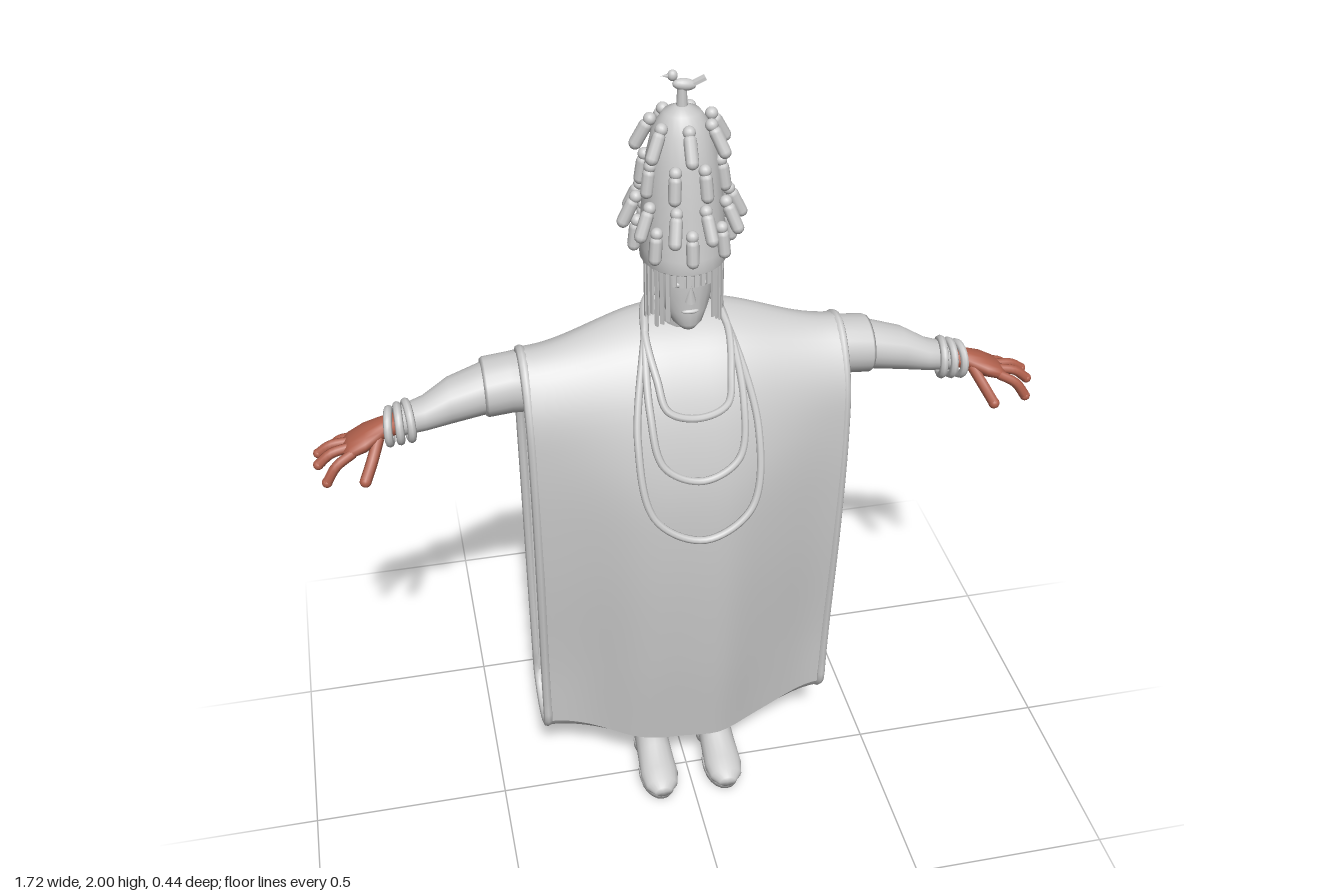
import * as THREE from 'three';

const V = (x, y, z) => new THREE.Vector3(x, y, z);
const lerp = THREE.MathUtils.lerp;
const grey = new THREE.MeshStandardMaterial({ color: 0xcccccc });
const cloth = new THREE.MeshStandardMaterial({ color: 0xcccccc, side: THREE.DoubleSide });
const skin = new THREE.MeshStandardMaterial({ color: 0xb0604c });

function add(parent, name, geometry, material = grey) {
  const m = new THREE.Mesh(geometry, material);
  m.name = name;
  parent.add(m);
  return m;
}

// Surface from fn(u, v); closed joins the last column to the first
function grid(fn, nu, nv, closed = false) {
  const pos = [], idx = [], cols = closed ? nu : nu + 1;
  for (let j = 0; j <= nv; j++)
    for (let i = 0; i < cols; i++) pos.push(...fn(i / nu, j / nv));
  for (let j = 0; j < nv; j++)
    for (let i = 0; i < nu; i++) {
      const a = j * cols + i, b = j * cols + (i + 1) % cols;
      idx.push(a, b, a + cols, b, b + cols, a + cols);
    }
  const g = new THREE.BufferGeometry();
  g.setAttribute('position', new THREE.Float32BufferAttribute(pos, 3));
  g.setIndex(idx);
  g.computeVertexNormals();
  return g;
}

// Elliptical rings [t, a, b, ra, rb] stacked along an axis; the ends are closed
function loft(rings, axis = 'y', seg = 20) {
  const first = [...rings[0]], last = [...rings.at(-1)];
  first[3] = first[4] = last[3] = last[4] = 0.0005;
  const all = [first, ...rings, last], n = all.length - 1;
  return grid((u, v) => {
    const [t, a, b, ra, rb] = all[Math.round(v * n)];
    const c = Math.cos(u * Math.PI * 2), s = Math.sin(u * Math.PI * 2);
    if (axis === 'x') return [t, a + ra * c, b + rb * s];
    if (axis === 'z') return [a + ra * c, b + rb * s, t];
    return [a + ra * s, t, b + rb * c];
  }, seg, n, true);
}

function ball(parent, name, p, s, material = grey) {
  const m = add(parent, name, new THREE.SphereGeometry(1, 16, 12), material);
  m.position.set(...p);
  m.scale.set(...s);
  return m;
}

// Robe profiles (z, y), from the front hem over the shoulder to the back hem
const profile = (pts) => new THREE.CatmullRomCurve3(pts.map(([z, y]) => V(0, y, z)));
const middle = profile([[.085, .19], [.125, .5], [.15, .85], [.14, 1.07], [.08, 1.27], [0, 1.375],
  [-.1, 1.415], [-.17, 1.35], [-.19, 1.13], [-.185, .86], [-.2, .5], [-.215, .19]]);
const edge = profile([[.005, .24], [.02, .44], [.06, .8], [.075, 1.1], [.06, 1.24], [.005, 1.33],
  [-.05, 1.355], [-.13, 1.31], [-.17, 1.18], [-.185, .86], [-.2, .5], [-.205, .24]]);
const W = .37;

function robePoint(x, v, inset = 0) {
  const w = THREE.MathUtils.smoothstep(W - Math.abs(x), 0, .32);
  const p = edge.getPoint(v).lerp(middle.getPoint(v), w);
  const fold = .005 * Math.sin(x * 28) * THREE.MathUtils.clamp(1.3 - p.y, 0, 1) * w;
  return [x, lerp(p.y, .75, inset * .025), lerp(p.z + fold, -.06, inset * .14)];
}

function hemPoint(x, v, inset = 0) {
  const a = robePoint(x, 0, inset), b = robePoint(x, 1, inset);
  const sag = (a[1] - .175 - inset * .015) * Math.pow(Math.sin(Math.PI * v), .6);
  return [x, lerp(a[1], b[1], v) - sag, lerp(a[2], b[2], v)];
}

function makeRobe() {
  const robe = new THREE.Group();
  robe.name = 'robe';
  for (const inset of [0, 1]) {
    const label = inset ? 'robeLining' : 'robeCloth';
    add(robe, label, grid((u, v) => robePoint(lerp(-W, W, u), v, inset), 32, 56), cloth);
    // Closed hem on each side, leaving a gap for the legs
    for (const s of [-1, 1])
      add(robe, label + 'Hem', grid((u, v) => hemPoint(s * lerp(.165, W, s > 0 ? 1 - u : u), v, inset), 8, 14), cloth);
  }
  // Thick border round both arm openings
  for (const s of [-1, 1]) {
    const pts = [];
    for (let i = 0; i <= 40; i++) pts.push(V(...robePoint(s * W, i / 40, .5)));
    for (let i = 7; i > 0; i--) pts.push(V(...hemPoint(s * W, i / 8, .5)));
    add(robe, 'robeBorder', new THREE.TubeGeometry(new THREE.CatmullRomCurve3(pts, true), 110, .012, 8, true));
  }
  return robe;
}

function makeArm() {
  const arm = new THREE.Group();
  arm.name = 'arm';
  add(arm, 'sleeve', loft([[.13, 1.26, -.07, .07, .075], [.3, 1.26, -.08, .072, .075], [.45, 1.25, -.08, .06, .066],
    [.54, 1.235, -.065, .053, .056], [.6, 1.215, -.055, .04, .043], [.66, 1.205, -.048, .033, .036]], 'x'));
  add(arm, 'shortSleeve', loft([[.3, 1.26, -.08, .078, .08], [.4, 1.255, -.08, .07, .073],
    [.455, 1.25, -.08, .068, .076], [.462, 1.25, -.08, .064, .07]], 'x'));
  [.638, .66, .682].forEach((x, i) => {
    const b = add(arm, 'bracelet', new THREE.TorusGeometry(.043 - i * .002, .01, 8, 24));
    b.position.set(x, 1.205 - i * .005, -.047);
    b.rotation.set(0, Math.PI / 2 + (i - 1) * .12, .2);
  });
  // Palm, four fingers and a thumb
  add(arm, 'palm', loft([[.66, 1.203, -.047, .025, .028], [.7, 1.196, -.043, .024, .032], [.74, 1.183, -.032, .026, .047],
    [.775, 1.17, -.028, .02, .047], [.79, 1.163, -.027, .011, .038]], 'x', 16), skin);
  for (const [base, mid, tip, r] of [
    [[.77, 1.17, .007], [.81, 1.15, .022], [.835, 1.115, .03], .012],
    [[.775, 1.172, -.017], [.82, 1.163, -.012], [.85, 1.14, -.008], .012],
    [[.775, 1.172, -.04], [.82, 1.166, -.042], [.848, 1.148, -.042], .0115],
    [[.765, 1.17, -.062], [.8, 1.158, -.073], [.825, 1.135, -.077], .01],
    [[.71, 1.185, -.018], [.73, 1.15, .02], [.75, 1.115, .045], .0135]]) {
    const c = new THREE.CatmullRomCurve3([base, mid, tip].map((p) => V(...p)));
    add(arm, 'finger', new THREE.TubeGeometry(c, 8, r, 8), skin);
    ball(arm, 'fingertip', tip, [r, r, r], skin);
  }
  return arm;
}

function makeLeg() {
  const leg = new THREE.Group();
  leg.name = 'leg';
  add(leg, 'trouserLeg', loft([[.2, .087, -.1, .04, .055], [.23, .087, -.11, .058, .077], [.32, .088, -.115, .07, .08],
    [.4, .088, -.1, .07, .075], [.5, .088, -.07, .075, .07], [.62, .086, -.055, .08, .08], [.75, .08, -.05, .08, .09]]));
  add(leg, 'bootShaft', loft([[.06, .088, -.085, .045, .055], [.13, .088, -.085, .043, .06], [.16, .088, -.085, .042, .062],
    [.162, .088, -.085, .047, .067], [.185, .088, -.085, .047, .067], [.19, .088, -.085, .042, .06], [.25, .088, -.09, .04, .055]]));
  add(leg, 'bootFoot', loft([[-.135, .088, .06, .028, .035], [-.12, .088, .068, .042, .055], [-.04, .088, .07, .045, .058],
    [.01, .088, .055, .047, .045], [.07, .088, .042, .05, .034], [.105, .088, .037, .042, .027], [.125, .088, .033, .022, .016]], 'z'));
  add(leg, 'sole', loft([[0, .088, .04, .046, .078], [.018, .088, .04, .05, .083], [.026, .088, .04, .047, .08]]));
  add(leg, 'heel', loft([[0, .088, -.09, .04, .046], [.035, .088, -.09, .042, .047]]));
  return leg;
}

function makeHead() {
  const head = new THREE.Group();
  head.name = 'head';
  add(head, 'neck', loft([[1.34, 0, -.08, .07, .065], [1.42, 0, -.075, .055, .055], [1.5, 0, -.06, .055, .055]]));
  add(head, 'skull', loft([[1.415, 0, .015, .018, .022], [1.43, 0, .005, .035, .042], [1.46, 0, -.018, .053, .067],
    [1.5, 0, -.03, .066, .08], [1.55, 0, -.033, .073, .087], [1.62, 0, -.035, .07, .085]]));
  const nose = add(head, 'nose', new THREE.ConeGeometry(.014, .045, 8));
  nose.position.set(0, 1.515, .05);
  nose.rotation.x = .25;
  ball(head, 'mouth', [0, 1.467, .045], [.02, .006, .008]);
  for (const s of [-1, 1]) {
    ball(head, 'eye', [s * .027, 1.535, .042], [.012, .007, .006]);
    ball(head, 'ear', [s * .071, 1.52, -.045], [.01, .028, .018]);
    // Hanging strands framing the face
    for (let i = 0; i < 9; i++) {
      const a = s * (.1 + i * .17), len = i < 3 ? .04 : .13 + .012 * (i % 3);
      const st = add(head, 'strand', new THREE.BoxGeometry(.009, len, .005));
      st.position.set(.088 * Math.sin(a), 1.58 - len / 2, -.035 + .103 * Math.cos(a));
      st.rotation.y = a;
    }
  }
  return head;
}

// Tall headdress with knobs and hanging drops in rings
function makeHeaddress() {
  const hat = new THREE.Group();
  hat.name = 'headdress';
  add(hat, 'crown', loft([[1.565, 0, -.035, .088, .1], [1.572, 0, -.035, .096, .108], [1.6, 0, -.035, .094, .103],
    [1.7, 0, -.037, .09, .093], [1.8, 0, -.039, .08, .08], [1.87, 0, -.04, .064, .064],
    [1.905, 0, -.04, .04, .04], [1.917, 0, -.04, .015, .015]], 'y', 24));
  // ring: count, knob height, radius, drop length, outward tilt, angle offset
  for (const [n, y, r, len, tilt, off] of [[7, 1.885, .066, .045, .5, 0], [8, 1.8, .08, .04, .15, .4],
    [10, 1.715, .1, .045, .45, .3], [8, 1.66, .098, .04, .12, 0]])
    for (let i = 0; i < n; i++) {
      const o = new THREE.Group(), a = off + i / n * Math.PI * 2;
      o.name = 'ornament';
      o.position.set(r * Math.sin(a), y, -.038 + r * Math.cos(a));
      o.rotation.set(-tilt, a, 0, 'YXZ');
      ball(o, 'knob', [0, 0, .003], [.014, .014, .014]);
      const drop = add(o, 'drop', new THREE.CapsuleGeometry(.0145, len, 4, 10));
      drop.position.set(0, -len / 2 - .018, .004);
      hat.add(o);
    }
  // Small bird on the top
  const perch = add(hat, 'perch', new THREE.CylinderGeometry(.01, .013, .05, 10));
  perch.position.set(0, 1.93, -.04);
  ball(hat, 'birdBody', [.005, 1.962, -.04], [.026, .013, .013]).rotation.z = -.15;
  ball(hat, 'birdHead', [-.02, 1.984, -.04], [.011, .012, .01]);
  const beak = add(hat, 'birdBeak', new THREE.ConeGeometry(.005, .018, 6));
  beak.position.set(-.036, 1.984, -.04);
  beak.rotation.z = Math.PI / 2;
  const tail = add(hat, 'birdTail', new THREE.BoxGeometry(.03, .007, .016));
  tail.position.set(.036, 1.968, -.04);
  tail.rotation.z = .4;
  return hat;
}

function makeNecklace(w, yb, zb) {
  const side = [[.07, 1.43, -.1], [.095, 1.395, 0], [w, lerp(1.39, yb, .45), zb * .64], [w * .8, lerp(1.39, yb, .86), zb * .93]];
  const pts = [V(0, 1.43, -.14), ...side.map((p) => V(...p)), V(0, yb, zb),
    ...side.map(([x, y, z]) => V(-x, y, z)).reverse()];
  return new THREE.TubeGeometry(new THREE.CatmullRomCurve3(pts, true), 110, .009, 8, true);
}

export function createModel() {
  const model = new THREE.Group();
  model.name = 'robedFigure';
  model.add(makeRobe(), makeHead(), makeHeaddress());
  // Tunic under the robe
  add(model, 'tunic', loft([[.67, 0, -.055, .19, .1], [.9, 0, -.055, .175, .1], [1.1, 0, -.06, .18, .095],
    [1.25, 0, -.07, .18, .08], [1.33, 0, -.08, .13, .055]], 'y', 28));
  for (const s of [-1, 1]) {
    const half = new THREE.Group();
    half.name = s > 0 ? 'leftLimbs' : 'rightLimbs';
    half.add(makeArm(), makeLeg());
    half.scale.x = s;
    model.add(half);
  }
  for (const n of [[.085, 1.24, .135], [.108, 1.1, .185], [.14, .95, .212]]) add(model, 'necklace', makeNecklace(...n));
  return model;
}
